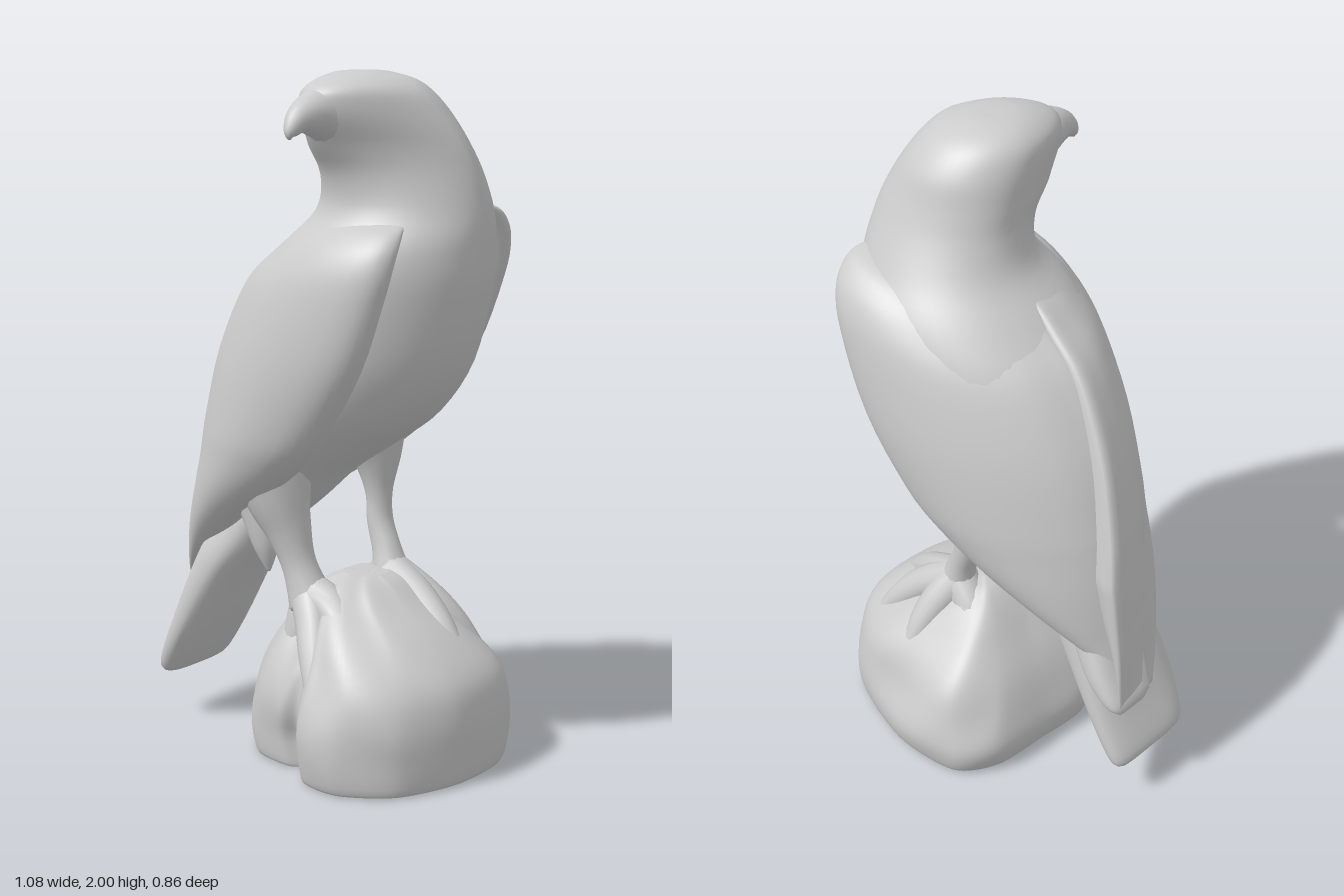
import * as THREE from 'three';

const V = (x, y, z) => new THREE.Vector3(x, y, z);
const clamp01 = t => Math.max(0, Math.min(1, t));
const material = new THREE.MeshStandardMaterial({ color: 0xcccccc, side: THREE.DoubleSide });

// Smoothly resample a table of rows, column by column
function smoothRows(rows, steps = 5) {
  const out = [];
  const at = i => rows[Math.min(rows.length - 1, Math.max(0, i))];
  for (let i = 0; i < rows.length - 1; i++) {
    for (let j = 0; j < steps; j++) {
      const t = j / steps;
      out.push(rows[i].map((p1, c) => {
        const p0 = at(i - 1)[c], p2 = at(i + 1)[c], p3 = at(i + 2)[c];
        return p1 + 0.5 * t * (p2 - p0 + t * (2 * p0 - 5 * p1 + 4 * p2 - p3 + t * (3 * (p1 - p2) + p3 - p0)));
      }));
    }
  }
  out.push(rows[rows.length - 1]);
  return out;
}

// Skin a list of closed rings and cap both ends; faces always point outwards
function loft(name, rings) {
  const n = rings[0].length, points = rings.flat(), index = [];
  for (let i = 0; i < rings.length - 1; i++) {
    for (let j = 0; j < n; j++) {
      const a = i * n + j, b = i * n + (j + 1) % n;
      index.push(a, a + n, b, b, a + n, b + n);
    }
  }
  [0, rings.length - 1].forEach((r, end) => {
    const center = rings[r].reduce((s, p) => s.add(p), V(0, 0, 0)).divideScalar(n);
    const c = points.push(center) - 1;
    for (let j = 0; j < n; j++) {
      const a = r * n + j, b = r * n + (j + 1) % n;
      index.push(c, ...(end ? [b, a] : [a, b]));
    }
  });
  let volume = 0;
  for (let i = 0; i < index.length; i += 3) {
    volume += points[index[i]].dot(V(0, 0, 0).crossVectors(points[index[i + 1]], points[index[i + 2]]));
  }
  if (volume < 0) index.reverse();
  const geometry = new THREE.BufferGeometry().setFromPoints(points);
  geometry.setIndex(index);
  geometry.computeVertexNormals();
  const mesh = new THREE.Mesh(geometry, material);
  mesh.name = name;
  return mesh;
}

// Round tapered limb along a curve; each row is x, y, z, radius
function limb(name, rows, sides = 14) {
  const path = smoothRows(rows, 6);
  const centers = path.map(p => V(p[0], p[1], p[2]));
  const rings = path.map((p, i) => {
    const dir = centers[Math.min(i + 1, path.length - 1)].clone().sub(centers[Math.max(i - 1, 0)]).normalize();
    const side = V(0.31, 0.11, 0.94).cross(dir).normalize();
    const up = dir.clone().cross(side);
    return Array.from({ length: sides }, (_, j) => {
      const a = j / sides * Math.PI * 2;
      return centers[i].clone().addScaledVector(side, p[3] * Math.cos(a)).addScaledVector(up, p[3] * Math.sin(a));
    });
  });
  return loft(name, rings);
}

// Flat feather plate; each row is x, y, half thickness, zMin, zMax
function plate(name, rows) {
  return loft(name, smoothRows(rows, 5).map(([x, y, h, z0, z1]) => Array.from({ length: 28 }, (_, j) => {
    const a = j / 28 * Math.PI * 2, c = Math.cos(a), s = Math.sin(a);
    const w = Math.sign(c) * Math.abs(c) ** 0.6, t = Math.sign(s) * Math.abs(s) ** 0.8 * h;
    return V(x + t * 0.87, y - t * 0.49, (z0 + z1) / 2 + w * (z1 - z0) / 2);
  })));
}

// Body and turned head: y, xMin, xMax, zMin, zMax, narrowing towards the face
function makeBody() {
  const rows = [
    [0.60, -0.33, -0.22, -0.07, 0.07, 0], [0.66, -0.36, -0.13, -0.11, 0.11, 0],
    [0.75, -0.38, -0.02, -0.16, 0.16, 0], [0.85, -0.38, 0.09, -0.21, 0.21, 0],
    [0.95, -0.38, 0.24, -0.25, 0.25, 0], [1.05, -0.36, 0.375, -0.28, 0.28, 0],
    [1.20, -0.30, 0.475, -0.31, 0.31, 0], [1.40, -0.19, 0.525, -0.315, 0.315, 0],
    [1.52, -0.08, 0.532, -0.295, 0.285, 0], [1.62, 0.02, 0.53, -0.24, 0.22, 0.05],
    [1.72, 0.06, 0.515, -0.185, 0.225, 0.15], [1.80, 0.065, 0.49, -0.15, 0.275, 0.25],
    [1.88, 0.065, 0.45, -0.12, 0.325, 0.28], [1.94, 0.075, 0.41, -0.075, 0.325, 0.22],
    [1.975, 0.105, 0.365, -0.025, 0.27, 0.15], [1.995, 0.15, 0.3, 0.035, 0.2, 0], [2.0, 0.19, 0.26, 0.075, 0.15, 0]];
  return loft('body', smoothRows(rows, 4).map(([y, x0, x1, z0, z1, k]) => Array.from({ length: 48 }, (_, j) => {
    const a = j / 48 * Math.PI * 2, front = Math.max(0, Math.sin(a));
    const cx = (x0 + x1) / 2, zc = (z0 + z1) / 2 - k * 0.12;
    const x = cx + (x1 - x0) / 2 * Math.cos(a) * (1 - k * front) + (0.21 - cx) * front * Math.min(1, k * 4);
    const z = zc + Math.sin(a) * (Math.sin(a) > 0 ? z1 - zc : zc - z0);
    return V(x, y, z);
  })));
}

// Folded wing: y, back edge x, leading edge x, outer z
function makeWing(name, side) {
  const rows = [
    [0.42, -0.522, -0.50, 0.03], [0.50, -0.515, -0.43, 0.09], [0.60, -0.505, -0.32, 0.16],
    [0.70, -0.49, -0.19, 0.225], [0.80, -0.475, -0.04, 0.28], [0.90, -0.455, 0.10, 0.32],
    [1.00, -0.43, 0.20, 0.345], [1.20, -0.36, 0.335, 0.363], [1.40, -0.24, 0.41, 0.352],
    [1.50, -0.12, 0.432, 0.328], [1.56, -0.03, 0.43, 0.285], [1.59, 0.06, 0.41, 0.235], [1.605, 0.16, 0.36, 0.15]];
  const outline = new THREE.CatmullRomCurve3([
    [0, 0], [0.02, 0.2], [0.09, 0.43], [0.25, 0.7], [0.45, 0.91], [0.65, 1], [0.85, 0.99],
    [0.96, 0.92], [1, 0.8], [0.94, 0.68], [0.7, 0.5], [0.3, 0.1]].map(([x, z]) => V(x, 0, z)), true);
  const section = outline.getPoints(48).slice(0, -1);
  return loft(name, smoothRows(rows, 4).map(([y, xb, xl, z]) => {
    // The right shoulder sits slightly higher; the left wing wraps over the back
    const lift = side < 0 ? clamp01((y - 1.2) / 0.4) : 0;
    const inner = side > 0 ? -0.13 * clamp01((1.55 - y) / 0.7) : 0;
    const back = xb + (side < 0 ? 0.025 * clamp01((y - 0.42) / 0.2) : 0);
    return section.map(p => V(back + p.x * (xl + lift * 0.04 - back), y + lift * 0.04 * p.x, side * (inner + (z - inner) * p.z)));
  }));
}

// Rock: one footprint fitted to the extents of each level: y, xMin, xMax, zMin, zMax
function makeRock() {
  const footprint = [
    [-0.17, -0.28], [-0.08, -0.4], [0.15, -0.425], [0.43, -0.34], [0.54, -0.17], [0.535, 0.05],
    [0.45, 0.24], [0.3, 0.34], [0.16, 0.325], [0.09, 0.23], [0.03, 0.25], [-0.1, 0.22], [-0.2, 0.09], [-0.19, -0.1]];
  const outline = new THREE.CatmullRomCurve3(footprint.map(([x, z]) => V(x, 0, z)), true, 'catmullrom', 0.4)
    .getPoints(112).slice(0, -1);
  const rows = [
    [0, -0.16, 0.51, -0.38, 0.31], [0.012, -0.18, 0.53, -0.41, 0.33], [0.1, -0.2, 0.54, -0.425, 0.34],
    [0.2, -0.175, 0.54, -0.395, 0.335], [0.3, -0.135, 0.515, -0.355, 0.3], [0.4, -0.075, 0.42, -0.27, 0.24],
    [0.48, -0.02, 0.31, -0.2, 0.165], [0.53, 0.03, 0.24, -0.15, 0.1], [0.55, 0.08, 0.19, -0.1, 0.04]];
  return loft('rock', smoothRows(rows, 4).map(([y, x0, x1, z0, z1]) => outline.map(p => {
    // The front cleft fades out with height
    const fill = p.z > 0 ? 0.07 * Math.exp(-(((p.x - 0.09) / 0.06) ** 2)) * clamp01((y - 0.1) / 0.2) : 0;
    const dent = 0.015 * Math.sin(p.x * 17 + y * 9) * Math.sin(p.z * 15 - y * 7) * clamp01(y * 6);
    const u = (p.x + 0.2) / 0.74, v = (p.z + fill + 0.425) / 0.765;
    return V(x0 + u * (x1 - x0), y, z0 + v * (z1 - z0) + dent);
  })));
}

export function createModel() {
  const model = new THREE.Group();
  model.name = 'perchedBird';
  model.add(makeRock(), makeBody(), makeWing('leftWing', 1), makeWing('rightWing', -1));

  // Hooked beak
  model.add(limb('beak', [[0.21, 1.88, 0.22, 0.09], [0.21, 1.885, 0.31, 0.064], [0.21, 1.872, 0.375, 0.04], [0.21, 1.84, 0.412, 0.02], [0.21, 1.82, 0.418, 0.004]]));

  // Tail and the shorter feather above it
  model.add(plate('tail', [[-0.2, 0.78, 0.08, -0.1, 0.1], [-0.26, 0.65, 0.085, -0.13, 0.14], [-0.33, 0.52, 0.07, -0.14, 0.18],
    [-0.43, 0.31, 0.05, -0.14, 0.2], [-0.5, 0.18, 0.036, -0.13, 0.18], [-0.515, 0.15, 0.015, -0.1, 0.14]]));
  model.add(plate('shortTailFeather', [[-0.34, 0.64, 0.06, -0.14, 0.06], [-0.43, 0.5, 0.05, -0.16, 0.04], [-0.495, 0.425, 0.03, -0.155, 0.02], [-0.52, 0.4, 0.008, -0.13, -0.02]]));

  // Legs with feathered thighs
  model.add(limb('leftLeg', [[-0.1, 0.92, 0.13, 0.15], [-0.06, 0.78, 0.14, 0.1], [-0.025, 0.68, 0.135, 0.068], [0.01, 0.58, 0.13, 0.052], [0.05, 0.47, 0.12, 0.07]]));
  model.add(limb('leftThighTuft', [[-0.13, 0.76, 0.14, 0.07], [-0.1, 0.63, 0.15, 0.04], [-0.09, 0.55, 0.15, 0.006]]));
  model.add(limb('rightLeg', [[0.06, 1.0, -0.13, 0.14], [0.09, 0.88, -0.14, 0.08], [0.1, 0.77, -0.14, 0.043], [0.105, 0.68, -0.14, 0.04], [0.135, 0.59, -0.135, 0.045], [0.16, 0.5, -0.13, 0.065]]));

  // Toes gripping the rock, tapering to talons
  const toes = {
    leftToe: [
      [[0.04, 0.5, 0.12], [0.09, 0.43, 0.165], [0.14, 0.34, 0.225], [0.2, 0.22, 0.3]],
      [[0.04, 0.5, 0.12], [0.13, 0.47, 0.13], [0.23, 0.39, 0.18], [0.32, 0.3, 0.24]],
      [[0.04, 0.49, 0.11], [0.03, 0.42, 0.13], [0.02, 0.34, 0.15], [0.02, 0.24, 0.18]],
      [[0.03, 0.5, 0.12], [0.01, 0.44, 0.08], [-0.03, 0.36, 0.05], [-0.09, 0.26, 0.03]]],
    rightToe: [
      [[0.15, 0.53, -0.13], [0.26, 0.475, -0.11], [0.37, 0.4, -0.08], [0.48, 0.29, -0.06]],
      [[0.15, 0.53, -0.13], [0.26, 0.46, -0.16], [0.34, 0.38, -0.2], [0.42, 0.27, -0.25]],
      [[0.15, 0.53, -0.13], [0.18, 0.46, -0.19], [0.2, 0.38, -0.25], [0.21, 0.26, -0.33]],
      [[0.15, 0.53, -0.13], [0.08, 0.46, -0.15], [0.04, 0.38, -0.19], [-0.02, 0.28, -0.23]]]
  };
  const radii = [0.06, 0.055, 0.045, 0.02];
  for (const [name, paths] of Object.entries(toes)) {
    for (const path of paths) model.add(limb(name, path.map((p, i) => [...p, radii[i]])));
  }
  return model;
}
